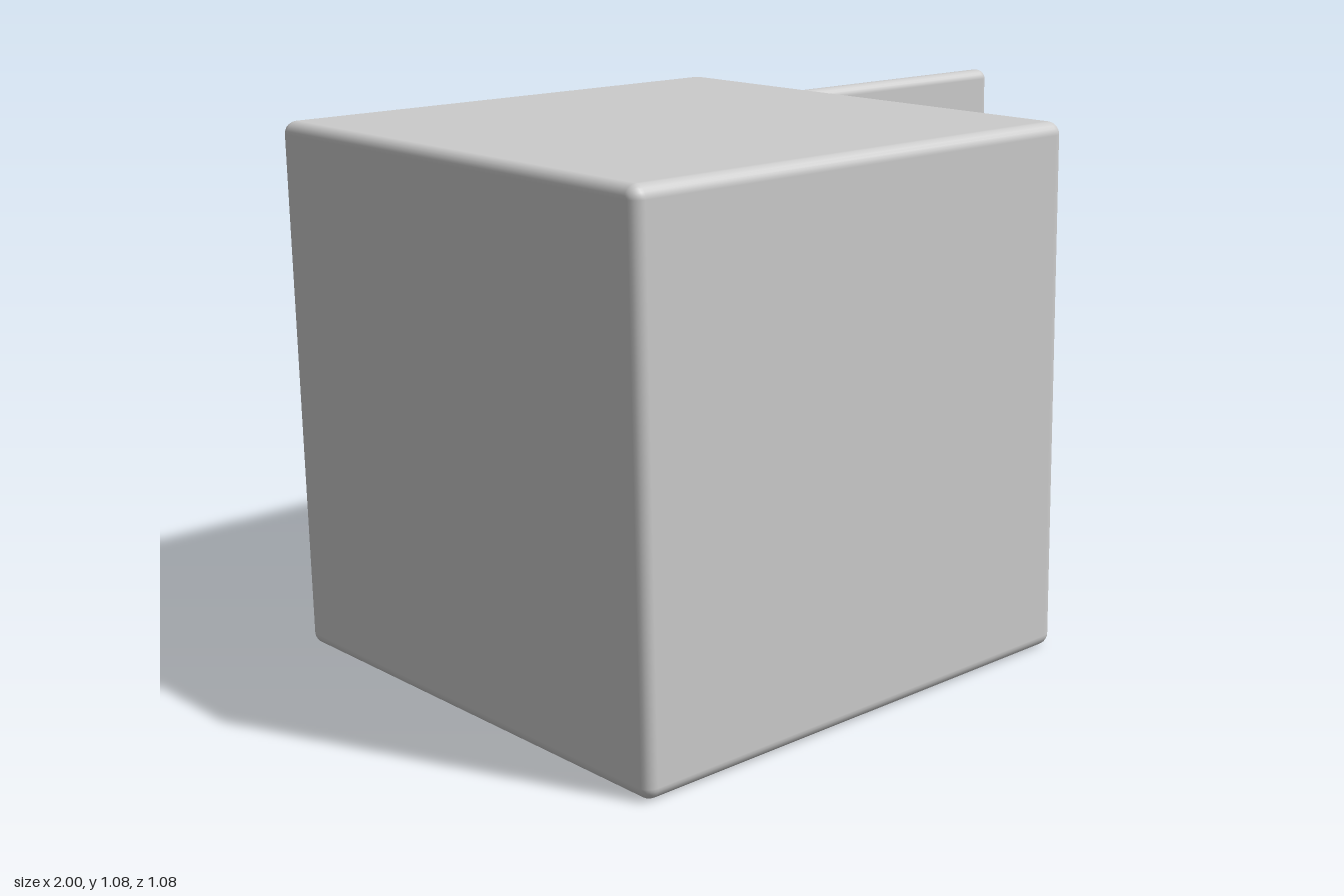
import * as THREE from 'three';

const STEPS = 6; // segments per rounded corner

// Sweeps a rounded rectangle along x and closes both ends.
// Station: x, core half height, core half depth, corner radius, normal along x, normal outward
function sweep(stations) {
  const pos = [], nor = [], idx = [];
  const ring = 4 * (STEPS + 1);
  const addRing = ([x, cy, cz, r, nx, nr], capNormal) => {
    for (let q = 0; q < 4; q++) {
      const sy = q === 0 || q === 3 ? 1 : -1, sz = q < 2 ? 1 : -1;
      for (let k = 0; k <= STEPS; k++) {
        const a = (q + k / STEPS) * Math.PI / 2;
        pos.push(x, sy * cy + r * Math.cos(a), sz * cz + r * Math.sin(a));
        if (capNormal) nor.push(capNormal, 0, 0);
        else nor.push(nx, nr * Math.cos(a), nr * Math.sin(a));
      }
    }
  };
  stations.forEach((s) => addRing(s));
  for (let i = 0; i < stations.length - 1; i++) {
    for (let j = 0; j < ring; j++) {
      const a = i * ring + j, b = i * ring + (j + 1) % ring;
      idx.push(a, b, b + ring, a, b + ring, a + ring);
    }
  }
  // Flat end caps
  for (const [s, n] of [[stations[0], -1], [stations[stations.length - 1], 1]]) {
    const base = pos.length / 3;
    addRing(s, n);
    pos.push(s[0], 0, 0);
    nor.push(n, 0, 0);
    for (let j = 0; j < ring; j++) {
      const a = base + j, b = base + (j + 1) % ring;
      if (n > 0) idx.push(base + ring, a, b);
      else idx.push(base + ring, b, a);
    }
  }
  const g = new THREE.BufferGeometry();
  g.setAttribute('position', new THREE.Float32BufferAttribute(pos, 3));
  g.setAttribute('normal', new THREE.Float32BufferAttribute(nor, 3));
  g.setIndex(idx);
  return g;
}

// Quarter-round run of stations; sign -1 makes it face inward
function arc(x, cy, cz, r0, radius, from, to, sign = 1) {
  const out = [];
  for (let k = 0; k <= STEPS; k++) {
    const t = THREE.MathUtils.degToRad(from + (to - from) * k / STEPS);
    const c = Math.cos(t), s = Math.sin(t);
    out.push([x + radius * c, cy, cz, r0 + radius * s, sign * c, sign * s]);
  }
  return out;
}

export function createModel() {
  const model = new THREE.Group();
  const grey = new THREE.MeshStandardMaterial({ color: 0xcccccc });
  grey.name = 'light grey';

  // Hollow box, open towards +x, with rounded rim and inner corners
  const half = 0.5375, b = 0.025, outer = half - b, inner = 0.4375;
  const box = new THREE.Mesh(sweep([
    ...arc(-1 + b, outer, outer, 0, b, 180, 90),
    ...arc(0.075 - b, outer, outer, 0, b, 90, 0),
    ...arc(0.075 - b, inner, inner, 0.04 + b, b, 0, -90),
    ...arc(-0.9, inner, inner, 0, 0.04, 90, 180, -1),
  ]), grey);
  box.name = 'openBox';
  box.position.y = half;
  model.add(box);

  // Open door continuing the back wall, slightly flared at its root
  const r = 0.022, dy = 0.477 - r, dz = 0.003;
  const door = new THREE.Mesh(sweep([
    [0, dy, dz, 0.028, 0, 1],
    [0.06, dy, dz, 0.028, 0, 1],
    [0.075, dy, dz, 0.0245, 0.25, 0.97],
    [0.1, dy, dz, r, 0, 1],
    ...arc(1 - r, dy, dz, 0, r, 90, 0),
  ]), grey);
  door.name = 'door';
  door.position.set(0, 0.54, -0.505);
  model.add(door);

  return model;
}
